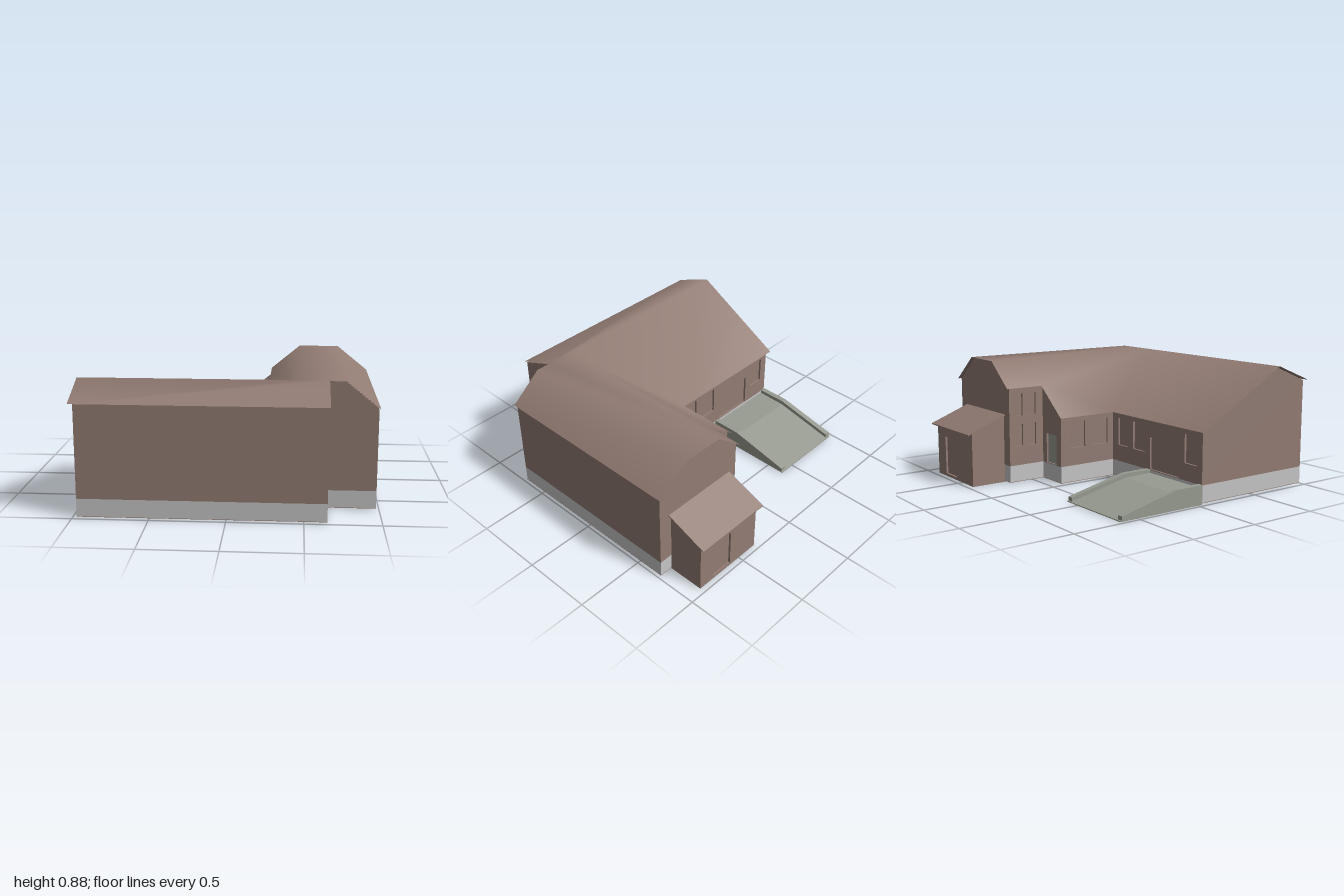
import * as THREE from 'three';

const mat = (name, color) => {
  const m = new THREE.MeshStandardMaterial({ color, side: THREE.DoubleSide });
  m.name = name;
  return m;
};

export function createModel() {
  const brown = mat('brown', 0x927c74);
  const plinthGrey = mat('plinth grey', 0xc6c6c6);
  const concrete = mat('concrete', 0x989b90);

  const model = new THREE.Group();
  model.name = 'house';
  const add = (name, geometry, material, parent = model) => {
    const mesh = new THREE.Mesh(geometry, material);
    mesh.name = name;
    parent.add(mesh);
    return mesh;
  };
  const shapeOf = (pts) => new THREE.Shape(pts.map(([x, y]) => new THREE.Vector2(x, y)));
  const extrude = (shape, depth) => new THREE.ExtrudeGeometry(shape, { depth, bevelEnabled: false });

  // A wall panel: 'facing' is the outward axis, 'at' its position on that axis.
  // Outline and openings [u0, u1, y0, y1] are given in world coordinates.
  const facings = {
    '+z': { yaw: 0, sign: 1 }, '-z': { yaw: Math.PI, sign: -1 },
    '+x': { yaw: Math.PI / 2, sign: -1 }, '-x': { yaw: -Math.PI / 2, sign: 1 },
  };
  function wall(name, facing, at, outline, openings = [], paneMaterial = brown) {
    const { yaw, sign } = facings[facing];
    const group = new THREE.Group();
    group.name = name;
    group.rotation.y = yaw;
    group.position[facing[1]] = at;
    const shape = shapeOf(outline.map(([u, y]) => [u * sign, y]));
    for (const [a, b, y0, y1] of openings) {
      const [u0, u1] = [a * sign, b * sign];
      shape.holes.push(new THREE.Path([[u0, y0], [u1, y0], [u1, y1], [u0, y1]]
        .map(([x, y]) => new THREE.Vector2(x, y))));
      const pane = new THREE.BoxGeometry(Math.abs(b - a), y1 - y0, 0.006);
      pane.translate((u0 + u1) / 2, (y0 + y1) / 2, -0.018);
      add('pane', pane, paneMaterial, group);
    }
    const panel = extrude(shape, 0.025);
    panel.translate(0, 0, -0.025);
    add('panel', panel, brown, group);
    model.add(group);
  }
  const rect = (a, b, y0, y1) => [[a, y0], [b, y0], [b, y1], [a, y1]];
  const B = 0.13, TOP = 0.868;

  // L-shaped plinth and ground slab
  const footprint = shapeOf([[-0.97, -0.98], [0.65, -0.98], [0.65, -0.69], [0.98, -0.69], [0.98, 0.7],
    [0.26, 0.7], [0.26, 0.42], [0.02, 0.42], [0.02, -0.04], [-0.97, -0.04]]);
  const plinth = extrude(footprint, B - 0.012);
  plinth.rotateX(-Math.PI / 2);
  add('plinth', plinth, plinthGrey).position.y = 0.012;
  const slab = extrude(footprint, 0.003);
  slab.rotateX(-Math.PI / 2);
  add('groundSlab', slab, brown).position.y = 0.008;

  // Walls of the long front wing
  wall('frontWall', '+z', 0.98, rect(-0.97, 0.65, B, 0.757));
  wall('rightEndWall', '+x', 0.65, [[0.69, B], [0.98, B], [0.98, 0.757], [0.71, TOP], [0.69, TOP]]);
  wall('leftGable', '-x', -0.97, [[0.04, B], [0.98, B], [0.98, 0.757], [0.71, TOP], [0.04, 0.495]]);
  wall('courtyardWall', '-z', 0.04, rect(-0.97, 0.02, B, 0.497), [
    [-0.16, -0.05, 0.25, 0.45], [-0.355, -0.225, 0.25, 0.45],
    [-0.91, -0.79, 0.25, 0.45], [-0.73, -0.42, 0.135, 0.365]]);

  // Walls of the rear wing
  wall('wingFrontGable', '+z', 0.69, [[0.65, B], [0.98, B], [0.98, 0.69], [0.76, TOP], [0.65, TOP]]);
  wall('wingSideWall', '+x', 0.98, rect(-0.7, 0.69, B, 0.69));
  wall('wingBackGable', '-z', -0.7,
    [[0.26, B], [0.98, B], [0.98, 0.69], [0.76, TOP], [0.46, TOP], [0.26, 0.703]]);
  const upperAndLower = [];
  for (const z of [-0.66, -0.55]) for (const y of [0.27, 0.49]) upperAndLower.push([z, z + 0.07, y, y + 0.16]);
  wall('wingUpperWall', '-x', 0.26, rect(-0.7, -0.42, B, 0.7), upperAndLower);
  wall('wingLowerWall', '-x', 0.02, rect(-0.42, 0.04, B, 0.505),
    [[-0.35, -0.21, 0.26, 0.45], [-0.15, -0.01, 0.26, 0.45]]);
  wall('entranceGable', '-z', -0.42, [[0.02, B], [0.26, B], [0.26, 0.7], [0.02, 0.505]],
    [[0.08, 0.21, 0.135, 0.35]], concrete);

  // Main roof: two joined slopes with a softly shaded valley
  const R = 0.876;
  const roof = new THREE.BufferGeometry();
  roof.setAttribute('position', new THREE.Float32BufferAttribute([
    [-1, 0.49, 0.02], [-1, R, 0.71], [-1, 0.76, 1], [0.655, 0.76, 1], [0.655, R, 0.71],
    [0.46, R, 0.71], [-0.01, 0.49, 0.02], [-0.01, 0.49, -0.44], [0.24, 0.695, -0.44], [0.24, 0.695, -0.725],
    [0.46, R, -0.725], [0.76, R, -0.725], [0.99, 0.69, -0.725], [0.99, 0.69, 0.71], [0.76, R, 0.71],
  ].flat(), 3));
  roof.setIndex([
    2, 3, 4, 2, 4, 5, 2, 5, 1, // front slope
    1, 5, 6, 1, 6, 0, // courtyard slope
    8, 7, 6, 8, 6, 5, 8, 5, 10, 8, 10, 9, // wing inner slope
    10, 5, 4, 10, 4, 14, 10, 14, 11, // wing flat top
    11, 14, 13, 11, 13, 12, // wing outer slope
  ]);
  roof.computeVertexNormals();
  add('mainRoof', roof, brown);

  // Porch behind the rear wing
  const porchSide = [[-0.7, 0.004], [-0.96, 0.004], [-0.96, 0.393], [-0.7, 0.495]];
  wall('porchRightWall', '+x', 0.88, porchSide);
  wall('porchLeftWall', '-x', 0.34, porchSide);
  wall('porchBackWall', '-z', -0.96, rect(0.34, 0.88, 0.004, 0.393), [[0.59, 0.76, 0.02, 0.3]]);
  const porchFloor = add('porchFloor', new THREE.BoxGeometry(0.54, 0.006, 0.27), brown);
  porchFloor.position.set(0.61, 0.003, -0.825);
  const porchRoof = extrude(shapeOf([[0.69, 0.496], [1, 0.376], [1, 0.384], [0.69, 0.504]]), 0.58);
  porchRoof.rotateY(Math.PI / 2);
  add('porchRoof', porchRoof, brown).position.x = 0.32;

  // Driveway ramp and its two kerbs, drawn as side profiles (z, y)
  const profile = (name, pts, x0, x1) => {
    const g = extrude(shapeOf(pts.map(([z, y]) => [-z, y])), x1 - x0);
    g.rotateY(Math.PI / 2);
    add(name, g, concrete).position.x = x0;
  };
  profile('ramp', [[0.04, 0], [-0.635, 0], [-0.635, 0.006], [-0.18, 0.105], [0.04, 0.11]], -0.975, -0.38);
  for (const x of [-0.975, -0.42]) {
    profile('rampKerb', [[0.04, 0], [-0.625, 0], [-0.625, 0.035], [-0.58, 0.045], [-0.18, 0.135], [0.04, 0.135]],
      x, x + 0.04);
  }
  return model;
}
